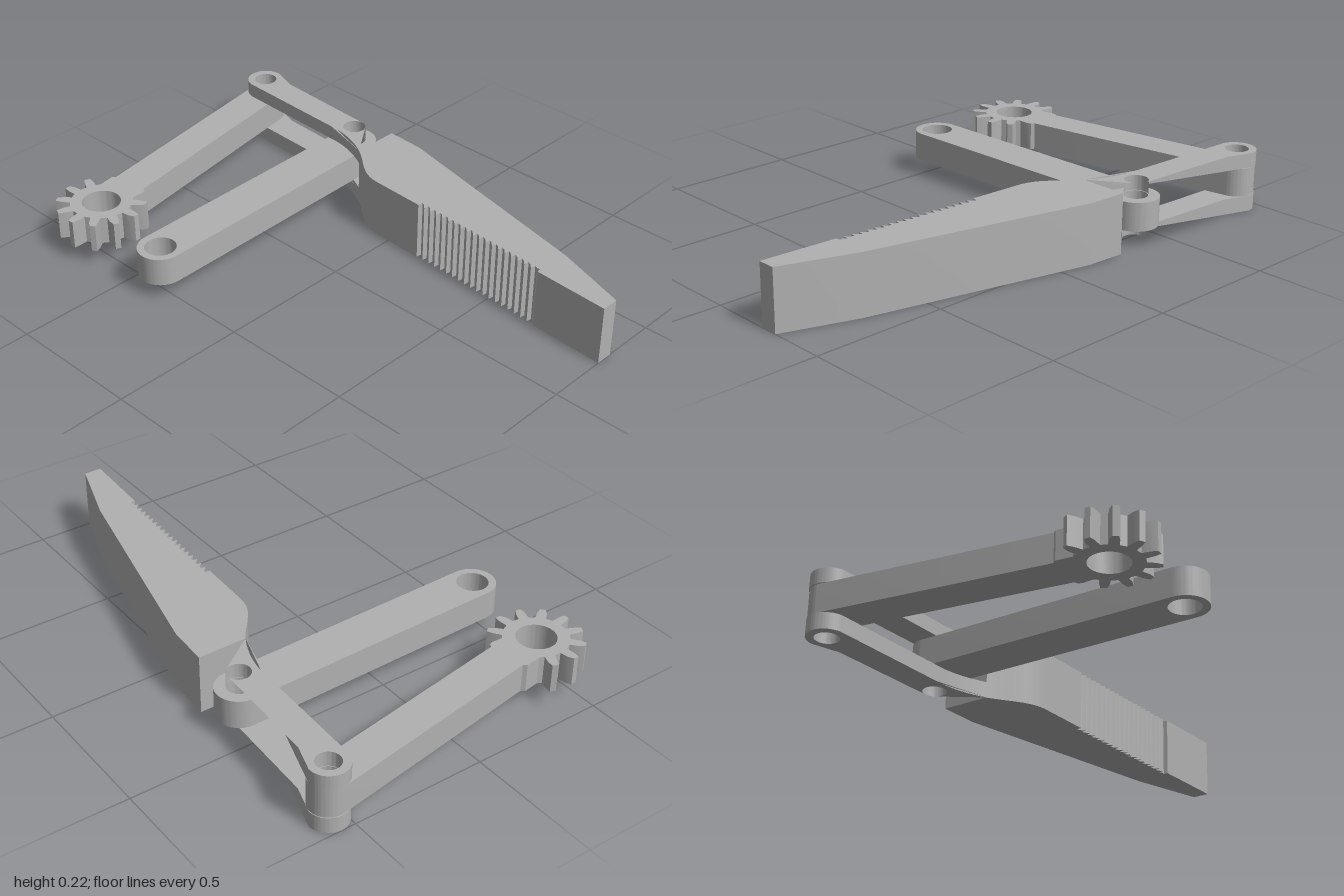
import * as THREE from 'three';
import { toCreasedNormals } from 'three/addons/utils/BufferGeometryUtils.js';

const RAD = Math.PI / 180;

// Plan shapes are drawn in (x, -z) and extruded upward.
const CRANK_PIVOT = [-0.928, 0.552];
const LINK_PIVOT = [-0.404, 0.523];
const GEAR = [-0.762, -0.444];
const LINK_END = [-0.382, -0.488];
const HEIGHT = 0.225, SLOT_LOW = 0.06, SLOT_HIGH = 0.17;
const SLOT_END = -0.265;

function addHole(shape, [x, y], r) {
  const hole = new THREE.Path();
  hole.absarc(x, y, r, 0, Math.PI * 2, true);
  shape.holes.push(hole);
}

function slab(name, shape, y0, y1, material) {
  const geo = new THREE.ExtrudeGeometry(shape, { depth: y1 - y0, bevelEnabled: false, curveSegments: 28 });
  geo.rotateX(-Math.PI / 2);
  geo.translate(0, y0, 0);
  const mesh = new THREE.Mesh(toCreasedNormals(geo, 0.45), material);
  mesh.name = name;
  return mesh;
}

// Forked end of the finger: one plate above and one below the slot
function forkShape() {
  const s = new THREE.Shape();
  s.moveTo(SLOT_END, 0.585);
  s.absarc(CRANK_PIVOT[0], CRANK_PIVOT[1], 0.071, 87 * RAD, 267 * RAD, false);
  s.lineTo(-0.43, 0.46);
  s.quadraticCurveTo(-0.34, 0.447, SLOT_END, 0.402);
  s.closePath();
  addHole(s, CRANK_PIVOT, 0.043);
  addHole(s, LINK_PIVOT, 0.043);
  return s;
}

// Solid tapering finger with a row of saw-like grip teeth
function fingerShape() {
  const s = new THREE.Shape();
  s.moveTo(SLOT_END, 0.585);
  s.lineTo(SLOT_END, 0.402);
  s.bezierCurveTo(-0.19, 0.355, -0.15, 0.288, -0.06, 0.285);
  const count = 19, x0 = 0.147, x1 = 0.712, pitch = (x1 - x0) / count;
  for (let i = 0; i < count; i++) {
    const x = x0 + i * pitch;
    const y = 0.275 - 0.032 * i / count;
    s.lineTo(x, y);
    s.lineTo(x + 0.003, y + 0.02);
    s.lineTo(x + pitch * 0.5, y + 0.014);
  }
  s.lineTo(x1 - 0.002, 0.26);
  s.lineTo(x1, 0.243);
  s.lineTo(1, 0.227);
  s.lineTo(1, 0.293);
  s.lineTo(0.725, 0.385);
  s.lineTo(-0.115, 0.577);
  s.closePath();
  return s;
}

// Plain link with round ends
function linkShape() {
  const s = new THREE.Shape();
  const r = 0.084;
  s.absarc(LINK_PIVOT[0], LINK_PIVOT[1], r, 1 * RAD, 181 * RAD, false);
  s.absarc(LINK_END[0], LINK_END[1], r, 181 * RAD, 361 * RAD, false);
  s.closePath();
  addHole(s, LINK_PIVOT, 0.043);
  addHole(s, LINK_END, 0.057);
  return s;
}

// Crank arm that ends in a gear
function crankShape() {
  const s = new THREE.Shape();
  const [gx, gy] = GEAR;
  const polar = (r, deg) => s.lineTo(gx + r * Math.cos(deg * RAD), gy + r * Math.sin(deg * RAD));
  s.absarc(CRANK_PIVOT[0], CRANK_PIVOT[1], 0.069, 9.5 * RAD, 189.5 * RAD, false);
  s.lineTo(gx - 0.092, gy + 0.145);
  s.lineTo(gx - 0.102, gy + 0.132);
  polar(0.118, 142);
  for (let a = 160; a <= 400; a += 30) {
    polar(0.115, a - 9);
    polar(0.145, a - 7);
    polar(0.166, a - 4);
    polar(0.168, a + 3);
    polar(0.145, a + 6);
    polar(0.115, a + 9);
  }
  polar(0.118, 58);
  s.lineTo(gx + 0.064, gy + 0.14);
  s.lineTo(gx + 0.06, gy + 0.155);
  s.lineTo(gx + 0.046, gy + 0.162);
  s.closePath();
  addHole(s, CRANK_PIVOT, 0.043);
  addHole(s, GEAR, 0.071);
  return s;
}

export function createModel() {
  const grey = new THREE.MeshStandardMaterial({ color: 0xb0b0b0 });
  grey.name = 'grey';

  const model = new THREE.Group();
  model.name = 'gripperFinger';

  const finger = new THREE.Group();
  finger.name = 'finger';
  finger.add(
    slab('fingerBody', fingerShape(), 0, HEIGHT, grey),
    slab('lowerForkPlate', forkShape(), 0, SLOT_LOW, grey),
    slab('upperForkPlate', forkShape(), SLOT_HIGH, HEIGHT, grey),
  );

  model.add(
    finger,
    slab('link', linkShape(), SLOT_LOW + 0.001, SLOT_HIGH - 0.002, grey),
    slab('gearCrank', crankShape(), SLOT_LOW + 0.001, SLOT_HIGH - 0.002, grey),
  );
  return model;
}
